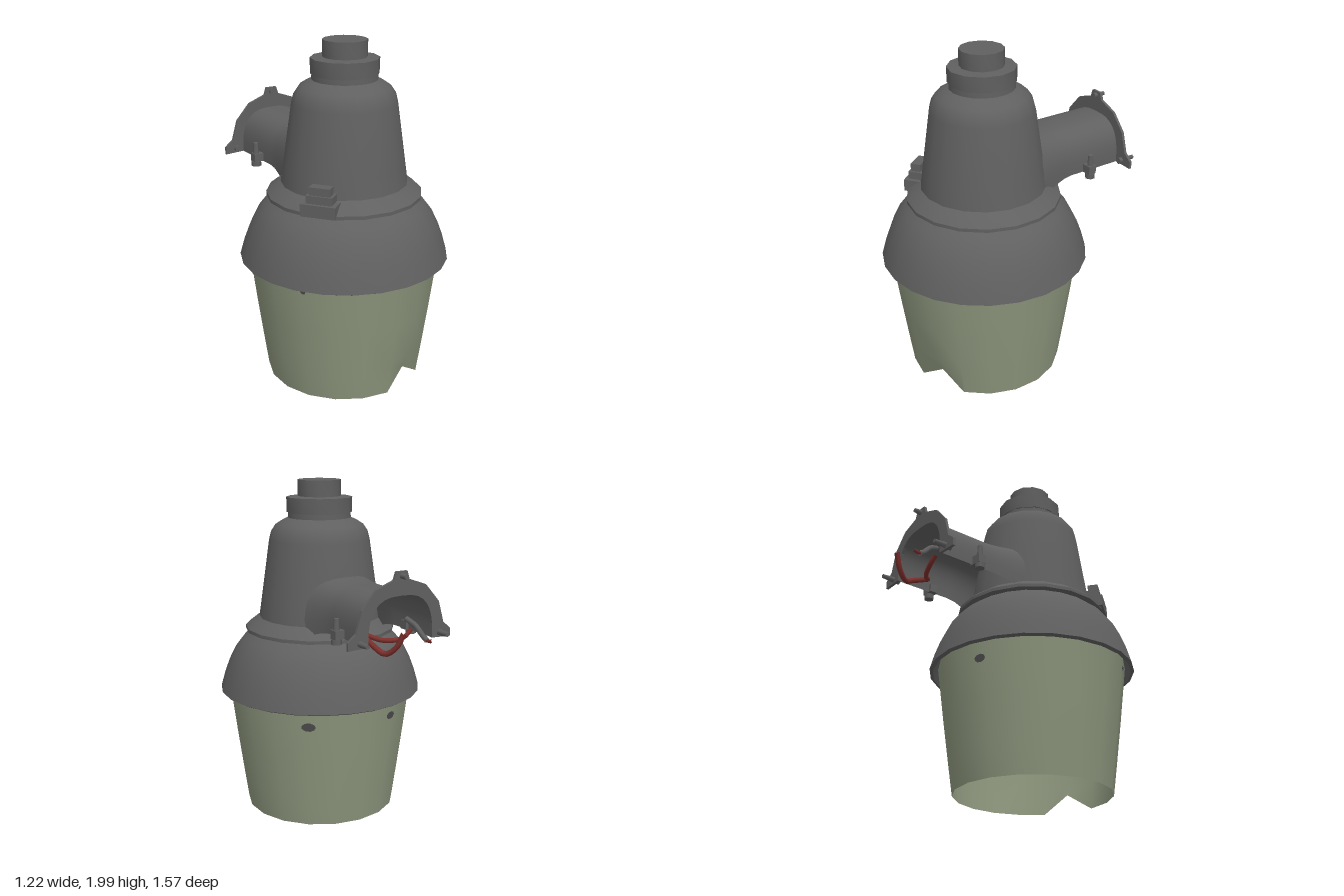
import * as THREE from 'three';
import { toCreasedNormals } from 'three/addons/utils/BufferGeometryUtils.js';
import { ParametricGeometry } from 'three/addons/geometries/ParametricGeometry.js';

const AXIS_Z = 0.17; // the lamp body turns about x = 0, z = AXIS_Z

function material(name, color, open = false) {
  const m = new THREE.MeshStandardMaterial({ color });
  m.name = name;
  if (open) m.side = THREE.DoubleSide;
  return m;
}

export function createModel() {
  const model = new THREE.Group();
  model.name = 'yardLight';
  const grey = material('housing grey', 0x606060, true);
  const glass = material('pale green lens', 0x8d967d, true);
  const dark = material('dark spot', 0x4c4c4c);
  const red = material('red wire', 0x7d302c);

  function add(name, geometry, mat, x = 0, y = 0, z = 0, parent = model) {
    const mesh = new THREE.Mesh(geometry, mat);
    mesh.name = name;
    mesh.position.set(x, y, z);
    parent.add(mesh);
    return mesh;
  }
  function turned(profile, segments) {
    return new THREE.LatheGeometry(profile.map(([r, y]) => new THREE.Vector2(r, y)), segments);
  }
  const creased = (g) => toCreasedNormals(g, 0.62);

  // Open lens, with one chipped and dented spot on its lower rim
  const lensProfile = [[0.457, 0.01], [0.484, 0.2], [0.518, 0.45], [0.56, 0.78]];
  const lens = turned(lensProfile, 18);
  const p = lens.attributes.position;
  [[0.1, 0.94], [0, 0.96], [0, 0.99]].forEach(([lift, squeeze], j) => {
    const k = lensProfile.length + j;
    p.setXYZ(k, p.getX(k) * squeeze, p.getY(k) + lift, p.getZ(k) * squeeze);
  });
  add('lens', creased(lens), glass, 0, 0, AXIS_Z);

  // Dark spots lying on the lens: angle about the axis, height, half width, half height
  const spots = [[142, 0.65, 0.042, 0.027], [198, 0.66, 0.035, 0.024], [-58, 0.715, 0.016, 0.016]];
  for (const [deg, y, w, h] of spots) {
    const a = THREE.MathUtils.degToRad(deg);
    const r = 0.457 + (y - 0.01) * 0.134 + 0.002;
    const spot = add('lensSpot', new THREE.CircleGeometry(1, 9), dark, r * Math.sin(a), y, AXIS_Z + r * Math.cos(a));
    spot.rotation.order = 'YXZ';
    spot.rotation.set(0.133, a, 0);
    spot.scale.set(w, h, 1);
  }

  // Rounded skirt over the lens
  add('skirt', creased(turned([
    [0.59, 0.735], [0.61, 0.745], [0.583, 0.84], [0.553, 0.92],
    [0.513, 1.0], [0.463, 1.065], [0.4, 1.115],
  ], 24)), grey, 0, 0, AXIS_Z);

  // Tapered housing with its foot flange and rounded shoulder
  add('housing', creased(turned([
    [0.39, 1.11], [0.45, 1.11], [0.45, 1.13], [0.405, 1.165], [0.366, 1.19], [0.35, 1.3],
    [0.3, 1.65], [0.287, 1.7], [0.26, 1.74], [0.22, 1.765], [0.187, 1.78], [0.185, 1.83],
  ], 18)), grey, 0, 0, AXIS_Z);

  // Photocell cap
  add('capRim', creased(turned([
    [0.18, 1.81], [0.193, 1.81], [0.195, 1.9], [0.127, 1.905],
  ], 12)), grey, 0, 0, AXIS_Z);
  add('capTop', creased(turned([[0.127, 1.89], [0.127, 2], [0, 2]], 12)), grey, 0, 0, AXIS_Z);

  // Latch block on the foot flange
  const latch = new THREE.Group();
  latch.name = 'latch';
  latch.position.set(-0.3, 0, 0.4);
  latch.rotation.y = Math.atan2(-0.33, 0.25);
  model.add(latch);
  add('latchBase', new THREE.BoxGeometry(0.2, 0.07, 0.14), grey, 0, 1.15, 0.01, latch);
  add('latchBody', new THREE.BoxGeometry(0.15, 0.06, 0.12), grey, 0, 1.2, 0, latch);
  add('latchTop', new THREE.BoxGeometry(0.12, 0.05, 0.06), grey, 0, 1.25, 0.02, latch);

  // Arched arm, open below, flaring where it meets the housing
  const arch = (w, y0, h, t) => {
    const c = Math.cos(t * Math.PI), s = Math.max(0, Math.sin(t * Math.PI));
    return [w * Math.sign(c) * Math.abs(c) ** 0.7, y0 + h * s ** 0.7];
  };
  const armSurface = (u, v, target) => {
    const z = -0.66 + 0.58 * u;
    const flare = Math.max(0, (z + 0.3) / 0.22) ** 1.5;
    const [x, y] = arch(0.215 + 0.04 * flare, 1.19 - 0.06 * flare, 0.26 + 0.09 * flare, v);
    target.set(x, y, z);
  };
  add('arm', new ParametricGeometry(armSurface, 10, 20), grey);

  // Arched mounting flange with a top tab
  const outer = [[0.335, 1.185], [0.335, 1.23], [0.285, 1.27], [0.25, 1.39], [0.16, 1.49], [0.05, 1.53], [0.035, 1.575]];
  const flange = new THREE.Shape();
  outer.forEach(([x, y], i) => (i ? flange.lineTo(x, y) : flange.moveTo(x, y)));
  [...outer].reverse().forEach(([x, y]) => flange.lineTo(-x, y));
  for (let i = 16; i >= 0; i--) flange.lineTo(...arch(0.21, 1.19, 0.255, i / 16));
  flange.closePath();
  add('flange', new THREE.ExtrudeGeometry(flange, { depth: 0.016, bevelEnabled: false }), grey, 0, 0, -0.668);

  // Mounting studs through the flange
  function stud(x, y, z0, z1) {
    const g = new THREE.CylinderGeometry(0.013, 0.021, z0 - z1, 6);
    add('mountingStud', g, grey, x, y, (z0 + z1) / 2).rotation.x = -Math.PI / 2;
  }
  stud(0, 1.55, -0.63, -0.71);
  for (const s of [-1, 1]) {
    stud(s * 0.26, 1.215, -0.63, -0.74);
    // Clamp screws either side of the arm
    add('clampLug', new THREE.BoxGeometry(0.075, 0.05, 0.05), grey, s * 0.235, 1.215, -0.42);
    add('clampScrew', new THREE.CylinderGeometry(0.015, 0.024, 0.14, 6), grey, s * 0.25, 1.235, -0.42);
    add('screwHead', new THREE.CylinderGeometry(0.03, 0.03, 0.03, 6), grey, s * 0.25, 1.175, -0.42);
  }

  // Loose supply wires
  function wire(name, mat, radius, ...points) {
    const curve = new THREE.CatmullRomCurve3(points.map((q) => new THREE.Vector3(...q)));
    add(name, new THREE.TubeGeometry(curve, 14, radius, 6), mat);
  }
  wire('redWire', red, 0.016, [0.15, 1.23, -0.5], [0.14, 1.18, -0.61], [0.11, 1.145, -0.68], [0.08, 1.19, -0.74], [0.06, 1.27, -0.775]);
  wire('innerRedWire', red, 0.014, [0.15, 1.23, -0.5], [0.05, 1.19, -0.58], [-0.05, 1.2, -0.62], [-0.1, 1.24, -0.62]);
  wire('greyWire', grey, 0.015, [-0.08, 1.3, -0.6], [-0.1, 1.27, -0.66], [-0.115, 1.22, -0.71], [-0.12, 1.2, -0.74]);
  wire('redWireTip', red, 0.01, [-0.12, 1.2, -0.735], [-0.123, 1.2, -0.76], [-0.125, 1.205, -0.78]);
  return model;
}
